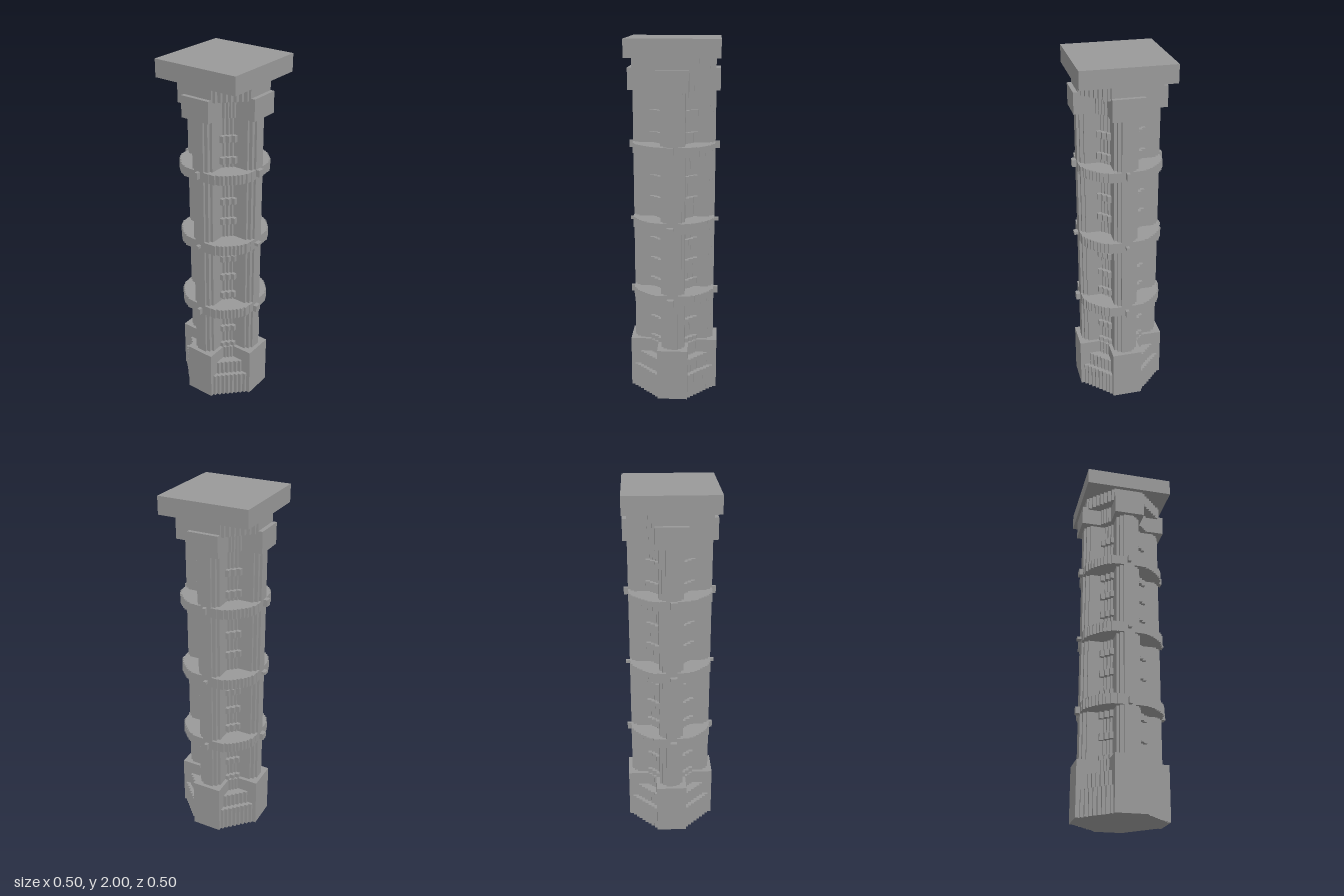
import * as THREE from 'three';

const stone = new THREE.MeshStandardMaterial({ color: 0x999999 });
stone.name = 'stone grey';

// n + 1 outer corners stepping diagonally from (a, b) to (b, a)
function stair(a, b, n) {
  const out = [];
  for (let i = 0; i <= n; i++) {
    const t = i / n;
    out.push([a + (b - a) * t, b + (a - b) * t]);
  }
  return out;
}

// Stepped outline between two corners, running clockwise
function stepLine(corners) {
  const pts = [];
  corners.forEach(([x, z], i) => {
    if (i > 0) pts.push([corners[i - 1][0], z]);
    pts.push([x, z]);
  });
  return pts;
}

// Upright prism from an outline
function prism(name, pts, y0, y1) {
  const shape = new THREE.Shape(pts.map(([x, z]) => new THREE.Vector2(x, z)));
  const geo = new THREE.ExtrudeGeometry(shape, { depth: y1 - y0, bevelEnabled: false });
  geo.rotateX(-Math.PI / 2);
  geo.translate(0, y0, 0);
  const mesh = new THREE.Mesh(geo, stone);
  mesh.name = name;
  return mesh;
}

// One quarter of corners repeated around the axis
function steppedPlan(corners) {
  const pts = [];
  let quarter = stepLine(corners);
  for (let q = 0; q < 4; q++) {
    pts.push(...quarter);
    quarter = quarter.map(([x, z]) => [z, -x]);
  }
  return pts;
}

// Cross plan with arms of the given width and reach, and stepped inner corners
function crossPlan(half, reach, a, b, n) {
  return steppedPlan([[half, reach], ...stair(a, b, n), [reach, half]]);
}

function box(name, w, h, d, x, y, z) {
  const mesh = new THREE.Mesh(new THREE.BoxGeometry(w, h, d), stone);
  mesh.position.set(x, y, z);
  mesh.name = name;
  return mesh;
}

export function createModel() {
  const model = new THREE.Group();
  model.name = 'pillar';

  // Base: four tall blocks with corner steps receding upwards
  model.add(
    prism('baseLowerTier', crossPlan(0.085, 0.247, 0.1, 0.225, 7), 0, 0.14),
    prism('baseMiddleTier', crossPlan(0.085, 0.247, 0.1, 0.19, 5), 0.14, 0.22),
    prism('baseUpperTier', crossPlan(0.085, 0.247, 0.098, 0.125, 2), 0.22, 0.297),
  );

  // Fluted shaft
  const shaft = [
    [0.03, 0.225], [0.05, 0.212], [0.065, 0.193],
    ...stair(0.077, 0.107, 2),
    [0.193, 0.065], [0.212, 0.05], [0.225, 0.03],
  ];
  model.add(prism('shaft', steppedPlan(shaft), 0.297, 1.73));

  // Rows of studs in the four corner flutes
  const studs = new THREE.Group();
  studs.name = 'studs';
  const studPlan = [[0.06, 0.06], [0.06, 0.13], ...stepLine(stair(0.085, 0.13, 2)), [0.13, 0.06]];
  for (let i = 0; i < 12; i++) {
    const y = 1.61 - 0.1186 * i;
    for (let q = 0; q < 4; q++) {
      const stud = prism('stud', studPlan, y - 0.018, y + 0.018);
      stud.rotation.y = q * Math.PI / 2;
      studs.add(stud);
    }
  }
  model.add(studs);

  // Round stepped collars, each with four knobs
  const ring = [
    [0.065, 0.225], [0.1, 0.222], [0.123, 0.21], [0.14, 0.2], [0.156, 0.186], [0.171, 0.171],
    [0.186, 0.156], [0.2, 0.14], [0.21, 0.123], [0.222, 0.1], [0.225, 0.065],
  ];
  const collars = [
    [0.562, 0.62, 0.562, 0.6],
    [0.976, 1.035, 0.997, 1.013],
    [1.395, 1.448, 1.41, 1.448],
  ];
  for (const [y0, y1, k0, k1] of collars) {
    model.add(prism('collar', steppedPlan(ring), y0, y1));
    for (const s of [-1, 1]) {
      model.add(box('knob', 0.036, k1 - k0, 0.027, -0.012, (k0 + k1) / 2, s * 0.2345));
      model.add(box('knob', 0.027, k1 - k0, 0.018, s * 0.2345, (k0 + k1) / 2, 0));
    }
  }

  // Capital: four blocks, a stepped neck and the square slab
  model.add(
    prism('capitalBlocks', crossPlan(0.085, 0.247, 0.1, 0.135, 3), 1.73, 1.83),
    prism('capitalRim', crossPlan(0.085, 0.247, 0.1, 0.212, 6), 1.83, 1.845),
    prism('neck', crossPlan(0.085, 0.224, 0.1, 0.212, 6), 1.845, 1.905),
    box('topSlab', 0.495, 0.095, 0.495, 0, 1.9525, 0),
  );
  return model;
}
